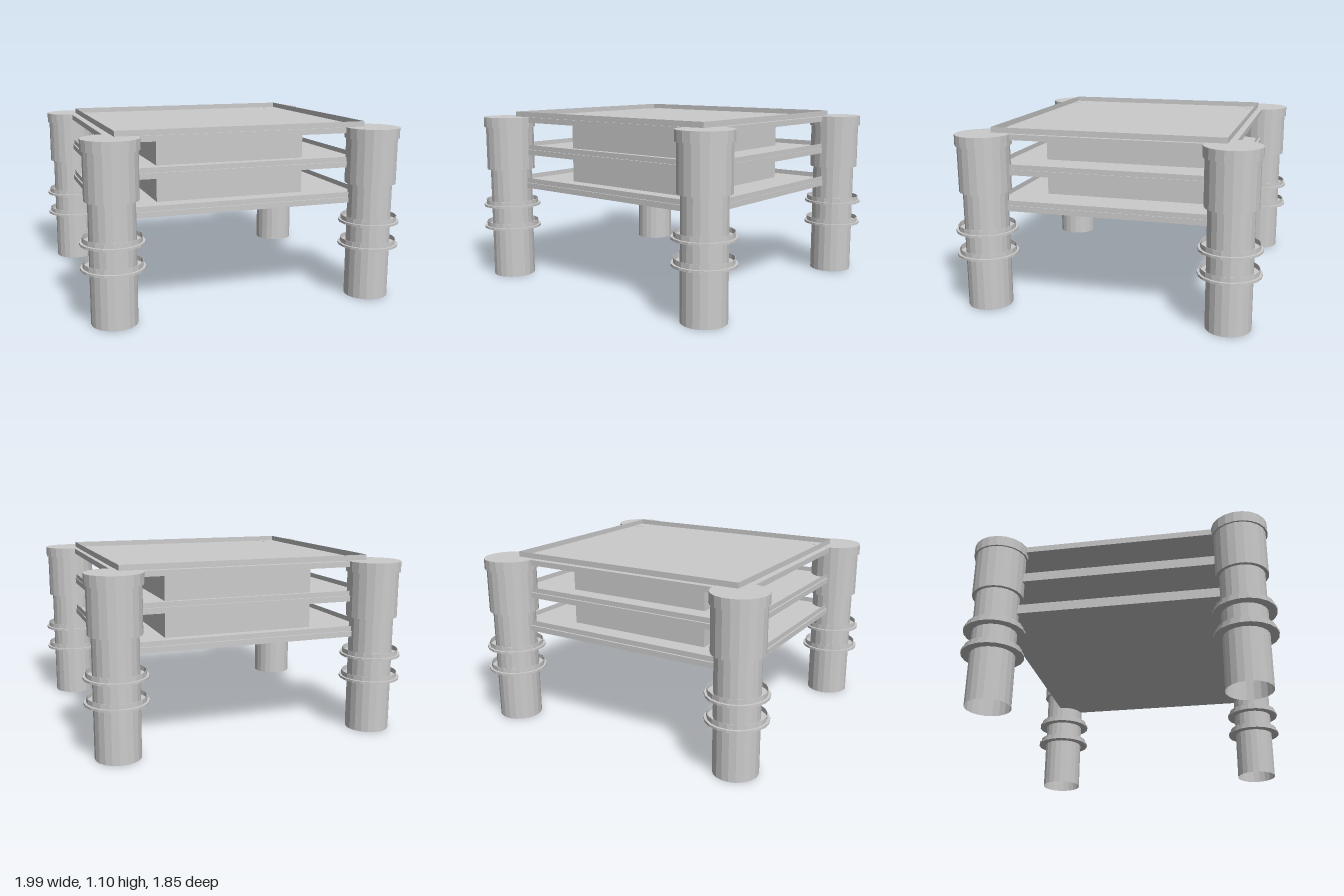
import * as THREE from 'three';

const SIDES = 20;
const grey = new THREE.MeshStandardMaterial({ color: 0xcccccc, flatShading: true, side: THREE.DoubleSide });

function addMesh(parent, name, geometry) {
  const mesh = new THREE.Mesh(geometry, grey);
  mesh.name = name;
  parent.add(mesh);
  return mesh;
}

// Faceted turned shape from [radius, height] pairs, listed bottom to top
function turned(profile) {
  const points = profile.map(([r, y]) => new THREE.Vector2(r, y));
  return new THREE.LatheGeometry(points, SIDES, Math.PI / SIDES);
}

// Solid slab between two corners
function slab(parent, name, x0, x1, y0, y1, z0, z1) {
  const mesh = addMesh(parent, name, new THREE.BoxGeometry(x1 - x0, y1 - y0, z1 - z0));
  mesh.position.set((x0 + x1) / 2, (y0 + y1) / 2, (z0 + z1) / 2);
}

// Thin upright rim around a rectangle, open above and below
function rim(parent, name, x0, x1, y0, y1, z0, z1) {
  const group = new THREE.Group();
  group.name = name;
  for (const [x, z, length, turn] of [
    [(x0 + x1) / 2, z1, x1 - x0, 0],
    [(x0 + x1) / 2, z0, x1 - x0, Math.PI],
    [x1, (z0 + z1) / 2, z1 - z0, Math.PI / 2],
    [x0, (z0 + z1) / 2, z1 - z0, -Math.PI / 2],
  ]) {
    const wall = addMesh(group, name + 'Wall', new THREE.PlaneGeometry(length, y1 - y0));
    wall.position.set(x, (y0 + y1) / 2, z);
    wall.rotation.y = turn;
  }
  parent.add(group);
}

// Column hollow at the foot, with a wider head, a cap and two flanged collars
function column(name) {
  const group = new THREE.Group();
  group.name = name;
  addMesh(group, 'columnShaft', turned([
    [0.135, 0], [0.135, 0.72], [0.156, 0.72], [0.156, 1.0],
    [0.167, 1.0], [0.167, 1.065], [0, 1.065],
  ]));
  for (const y of [0.325, 0.472]) {
    const collar = addMesh(group, 'collar', turned([
      [0.134, 0], [0.186, 0], [0.186, 0.014], [0.171, 0.014],
      [0.171, 0.043], [0.169, 0.043], [0.169, 0.014], [0.134, 0.014],
    ]));
    collar.position.y = y;
  }
  return group;
}

export function createModel() {
  const model = new THREE.Group();
  model.name = 'platform';

  // Four corner columns
  for (const [side, x] of [['Left', 0.812], ['Right', -0.812]]) {
    for (const [end, z] of [['front', 0.743], ['back', -0.743]]) {
      const leg = column(end + side + 'Column');
      leg.position.set(x, 0, z);
      model.add(leg);
    }
  }

  // Three floors
  for (const [name, y] of [['lower', 0.595], ['middle', 0.818], ['upper', 1.03]]) {
    slab(model, name + 'Floor', -0.825, 0.803, y, y + 0.034, -0.743, 0.72);
  }

  // Raised rims around the floors
  rim(model, 'lowerRim', -0.815, 0.798, 0.629, 0.66, -0.73, 0.71);
  rim(model, 'middleRim', -0.815, 0.798, 0.852, 0.882, -0.73, 0.71);
  rim(model, 'topTrayRim', -0.783, 0.775, 1.064, 1.098, -0.705, 0.71);

  // Enclosed core on each storey, with a slightly wider plate above it
  for (const [name, y0, y1, top] of [['lower', 0.629, 0.797, 0.818], ['upper', 0.852, 1.01, 1.03]]) {
    slab(model, name + 'Core', -0.487, 0.468, y0, y1, -0.54, 0.48);
    slab(model, name + 'CorePlate', -0.513, 0.49, y1, top, -0.565, 0.505);
  }

  return model;
}
